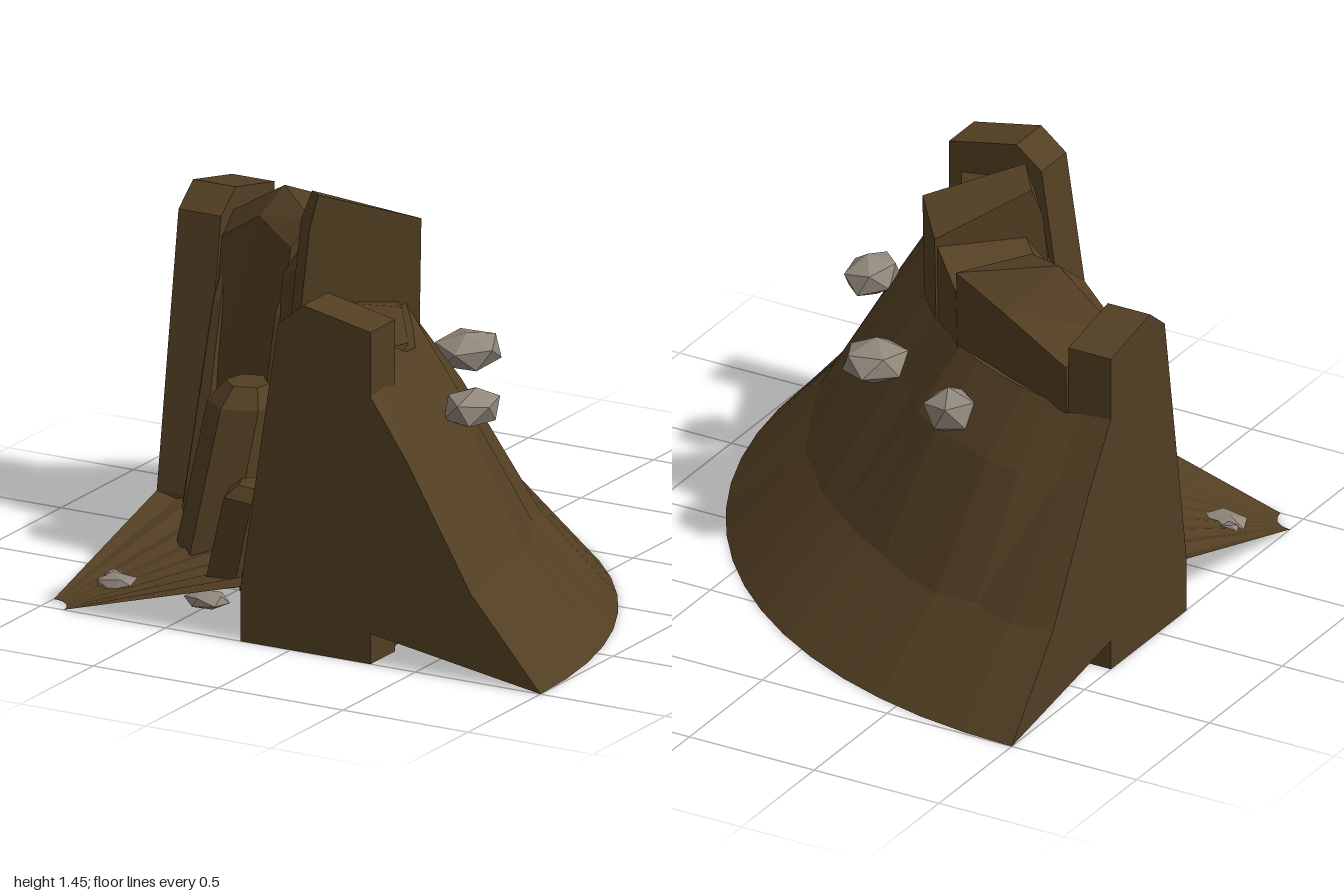
import * as THREE from 'three';

// rock parts are open underneath, so both sides show
const brown = new THREE.MeshStandardMaterial({ color: 0x533f23, flatShading: true, side: THREE.DoubleSide });
brown.name = 'brownRock';
const grey = new THREE.MeshStandardMaterial({ color: 0x91877b, flatShading: true });
grey.name = 'greyStone';

const rad = THREE.MathUtils.degToRad;
// polar position around the crater centre; angle runs from the front end to the back end
const polar = (r, y, deg) => [-1 + r * Math.cos(rad(deg)), y, 1 - r * Math.sin(rad(deg))];

// small seeded generator
let seed = 11;
const rand = () => (seed = (seed * 16807) % 2147483647) / 2147483647;

// linear lookup in [[key, value], ...]
function lookup(list, k) {
  for (let i = 1; i < list.length; i++) {
    const [a, va] = list[i - 1], [b, vb] = list[i];
    if (k <= b) return va + (vb - va) * (k - a) / (b - a);
  }
  return list[list.length - 1][1];
}

// solid through equal-length rings; profile is the counter-clockwise 2D outline for the caps,
// open lists the profile edges whose faces are left out
function loft(rings, profile, open = []) {
  const n = profile.length, last = rings.length - 1, tris = [], openTris = new Set();
  const put = (a, b, c, edge) => {
    tris.push([a, b, c]);
    if (open.includes(edge)) openTris.add(tris[tris.length - 1]);
  };
  for (let k = 0; k < last; k++) {
    const a = rings[k], b = rings[k + 1];
    for (let i = 0; i < n; i++) {
      const j = (i + 1) % n;
      put(a[i], a[j], b[j], i);
      put(a[i], b[j], b[i], i);
    }
  }
  const caps = THREE.ShapeUtils.triangulateShape(profile.map(p => new THREE.Vector2(p[0], p[1])), []);
  for (const [a, b, c] of caps) {
    put(rings[0][a], rings[0][c], rings[0][b], -1);
    put(rings[last][a], rings[last][b], rings[last][c], -1);
  }
  // turn the faces outward when the sweep runs the other way
  let volume = 0;
  for (const [a, b, c] of tris) {
    volume += new THREE.Vector3(...a).dot(new THREE.Vector3(...b).cross(new THREE.Vector3(...c)));
  }
  if (volume < 0) tris.forEach(t => t.reverse());
  const kept = tris.filter(t => !openTris.has(t));
  const geo = new THREE.BufferGeometry();
  geo.setAttribute('position', new THREE.Float32BufferAttribute(kept.flat(2), 3));
  geo.computeVertexNormals();
  return geo;
}

export function createModel() {
  const model = new THREE.Group();
  model.name = 'craterQuarter';
  const add = (name, geo, mat = brown) => {
    const mesh = new THREE.Mesh(geo, mat);
    mesh.name = name;
    model.add(mesh);
    return mesh;
  };

  // outer slope: a sheet with a wavy rim, capped at both ends and open underneath
  const rim = [[0, 0.97], [8, 1.11], [12, 1.08], [16.5, 1.02], [21.7, 0.99], [26.5, 1.01],
    [31, 1.08], [35.8, 1.07], [39, 0.97], [90, 0.97]];
  const slopeAt = (deg, w) => {
    const h = lookup(rim, deg);
    return [[1.2, 0.11], [1.32, 0.11], [2, 0], [1.72 + w[0], 0.32 + w[1]], [1.47 + w[2], 0.75],
      [1.32 - (h - 0.97) * 0.5, h], [1.18, h - 0.02]];
  };
  const slopeRings = [];
  for (let i = 0; i <= 16; i++) {
    const deg = i * 90 / 16, end = i === 0 || i === 16;
    const w = [0.03, 0.03, 0.06].map(s => end ? 0 : (rand() - 0.5) * s);
    slopeRings.push(slopeAt(deg, w).map(([r, y]) => polar(r, y, deg)));
  }
  add('outerSlope', loft(slopeRings, slopeAt(0, [0, 0, 0]), [0, 1, 6]));

  // straight pillars closing both cut ends, open at the bottom
  const pillar = [[0.8, 0], [1.32, 0], [1.32, 1.205], [1.05, 1.26], [0.95, 1.18], [0.8, 0.2]];
  add('frontEndPillar', loft([1, 0.83].map(z => pillar.map(([r, y]) => [-1 + r, y, z])), pillar, [0]));
  add('backEndPillar', loft([-1, -0.83].map(x => pillar.map(([r, y]) => [x, y, 1 - r])), pillar, [0]));

  // rim wall blocks, open at the bottom; rows: angle, bevel r, bevel y, crest r, crest y, outer r, outer y
  const walls = {
    lowWall: [[7.7, 0.98, 1.02, 1.06, 1.12, 1.28, 1.1], [13, 0.95, 1.03, 1.05, 1.15, 1.24, 1.1],
      [18, 0.96, 1.0, 1.06, 1.12, 1.26, 1.03], [24, 0.94, 0.95, 1.03, 1.04, 1.28, 1.0],
      [31, 0.95, 0.98, 1.04, 1.06, 1.25, 1.08], [38, 0.94, 0.98, 1.02, 1.06, 1.25, 1.05]],
    tallWall: [[38, 0.94, 1.33, 0.97, 1.45, 1.33, 1.35], [46.7, 0.94, 1.32, 0.98, 1.42, 1.33, 1.28]],
    middleWall: [[46.7, 0.93, 1.14, 1.0, 1.24, 1.32, 1.25], [55.7, 0.93, 1.08, 1.0, 1.17, 1.33, 1.17]],
    broadWall: [[55.7, 0.96, 1.17, 1.04, 1.26, 1.33, 1.25], [68, 0.96, 1.23, 1.07, 1.32, 1.3, 1.2],
      [82.5, 0.98, 1.08, 1.05, 1.16, 1.34, 1.13]],
  };
  for (const [name, rows] of Object.entries(walls)) {
    const section = ([, br, by, cr, cy, or, oy]) =>
      [[0.8, 0], [1.31, 0], [or, oy], [cr, cy], [br, by], [0.82, 0.2]];
    const rings = rows.map(row => section(row).map(([r, y]) => polar(r, y, row[0])));
    add(name, loft(rings, section(rows[0]), [0]));
  }

  // fluted crater floor
  const floor = new THREE.PlaneGeometry(1, 1, 16, 3);
  const pos = floor.attributes.position;
  for (let i = 0; i < pos.count; i++) {
    const u = pos.getX(i) + 0.5, v = pos.getY(i) + 0.5;
    const flute = Math.round(u * 16) % 2 ? -0.02 : 0;
    pos.setXYZ(i, ...polar(0.09 + 0.73 * v, (0.205 + flute) * v, u * 90));
  }
  floor.computeVertexNormals();
  add('craterFloor', floor);

  // leaning rock columns on the inner wall: base, top, radius, turn in degrees, tip scale
  const columns = [
    [[-0.63, 0.12, 0.43], [-0.56, 0.7, 0.32], 0.14, 40, 0.6],
    [[-0.38, 0.12, 0.69], [-0.31, 0.47, 0.68], 0.13, 10, 0.6],
    [[-0.2, 0.15, 0.64], [-0.12, 0.98, 0.62], 0.1, 25, 0.6],
    [[-0.5, 0.15, 0.28], [-0.45, 1.05, 0.16], 0.1, 50, 0.6],
    [[-0.25, 0.15, 0.5], [-0.15, 1.03, 0.43], 0.08, 30, 0.6],
    [[-0.82, 0.15, 0.24], [-0.81, 1.0, 0.06], 0.06, 0, 0.15],
    [[-0.36, 0.12, 0.46], [-0.29, 0.85, 0.37], 0.1, 45, 0.6],
    [[-0.25, 0.13, 0.8], [-0.12, 0.75, 0.78], 0.07, 0, 0.6],
  ];
  for (const [base, top, radius, turn, tip] of columns) {
    const hex = [];
    for (let i = 0; i < 6; i++) {
      const a = rad(turn + i * 60);
      hex.push([Math.cos(a), Math.sin(a)]);
    }
    const rings = [[0, 1], [0.88, 0.35 + tip], [1, tip]].map(([t, s]) => hex.map(([x, z]) => [
      base[0] + (top[0] - base[0]) * t + x * radius * s,
      base[1] + (top[1] - base[1]) * t,
      base[2] + (top[2] - base[2]) * t + z * radius * s]));
    add('rockColumn', loft(rings, hex));
  }

  // loose grey stones: position, size
  const stones = [
    [[-0.34, 0.82, -0.28], [0.2, 0.16, 0.19]],
    [[0.09, 0.81, -0.07], [0.23, 0.14, 0.25]],
    [[0.43, 0.81, 0.49], [0.18, 0.14, 0.24]],
    [[-0.82, 0.045, 0.77], [0.18, 0.075, 0.12]],
    [[-0.87, 0.05, 0.72], [0.07, 0.05, 0.06]],
    [[-0.48, 0.038, 0.75], [0.16, 0.06, 0.13]],
  ];
  stones.forEach(([p, s], i) => {
    const geo = new THREE.IcosahedronGeometry(0.5, 0);
    geo.rotateY(i * 1.3).rotateZ(0.4 + i * 0.5).scale(s[0] * 1.08, s[1] * 1.08, s[2] * 1.08);
    geo.computeVertexNormals();
    add('looseStone', geo, grey).position.set(...p);
  });

  return model;
}
